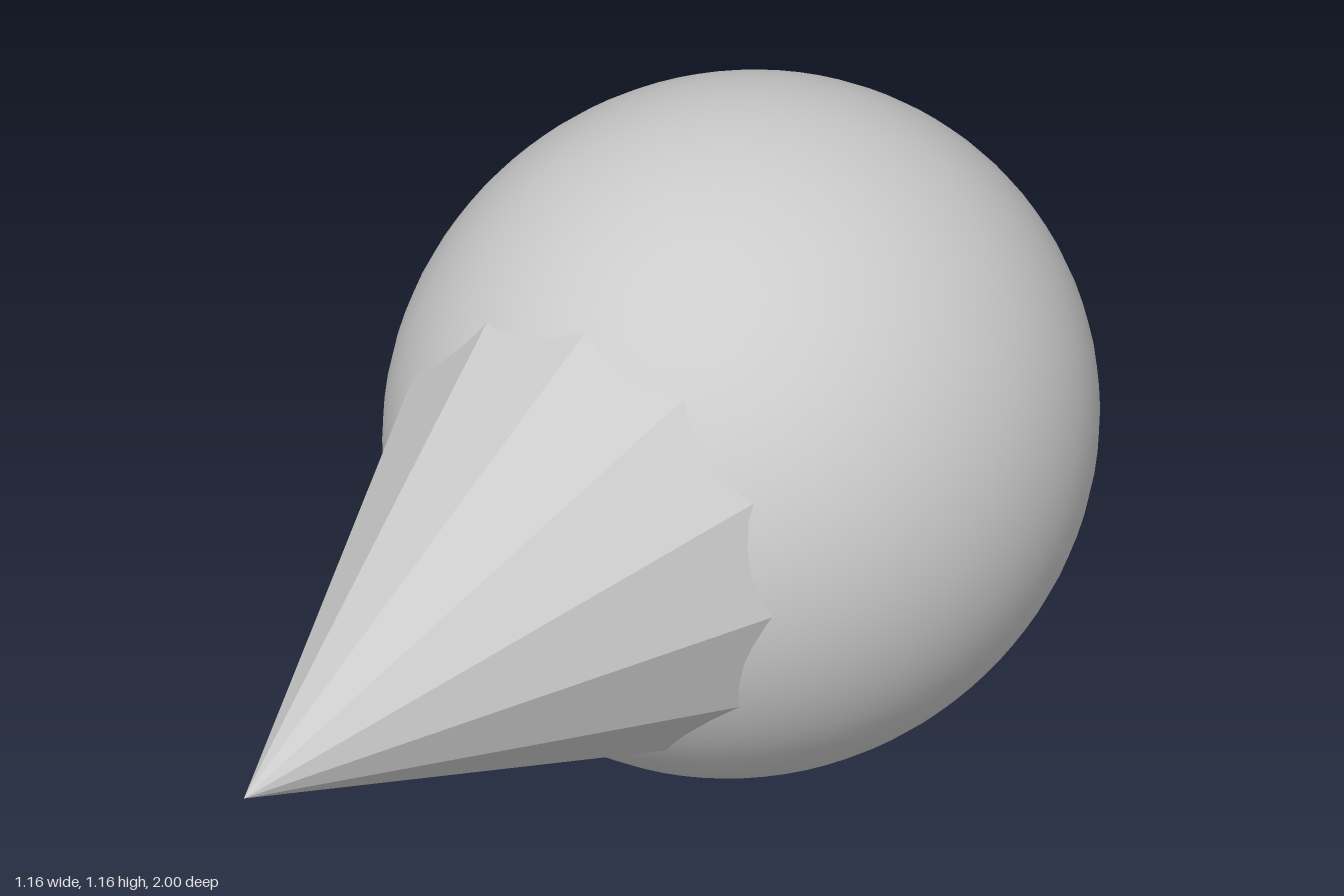
import * as THREE from 'three';

export function createModel() {
  const group = new THREE.Group();

  // Smooth ball, slightly stretched from front to back
  const ball = new THREE.Mesh(
    new THREE.SphereGeometry(1, 64, 40),
    new THREE.MeshStandardMaterial({ color: 0xcccccc })
  );
  ball.name = 'ball';
  ball.scale.set(0.578, 0.578, 0.62);
  ball.position.set(0, 0.58, -0.38);
  group.add(ball);

  // Twelve-sided faceted cone, its tip at the mesh origin, its base sunk into the ball
  const length = 1.05;
  const coneGeometry = new THREE.ConeGeometry(0.422 * length, length, 12);
  coneGeometry.translate(0, -length / 2, 0);
  const cone = new THREE.Mesh(
    coneGeometry,
    new THREE.MeshStandardMaterial({ color: 0xcccccc, flatShading: true })
  );
  cone.name = 'cone';
  cone.rotation.x = Math.PI / 2 + 0.025; // points forward, drooping slightly
  cone.position.set(0.005, 0.565, 1);
  group.add(cone);

  return group;
}
